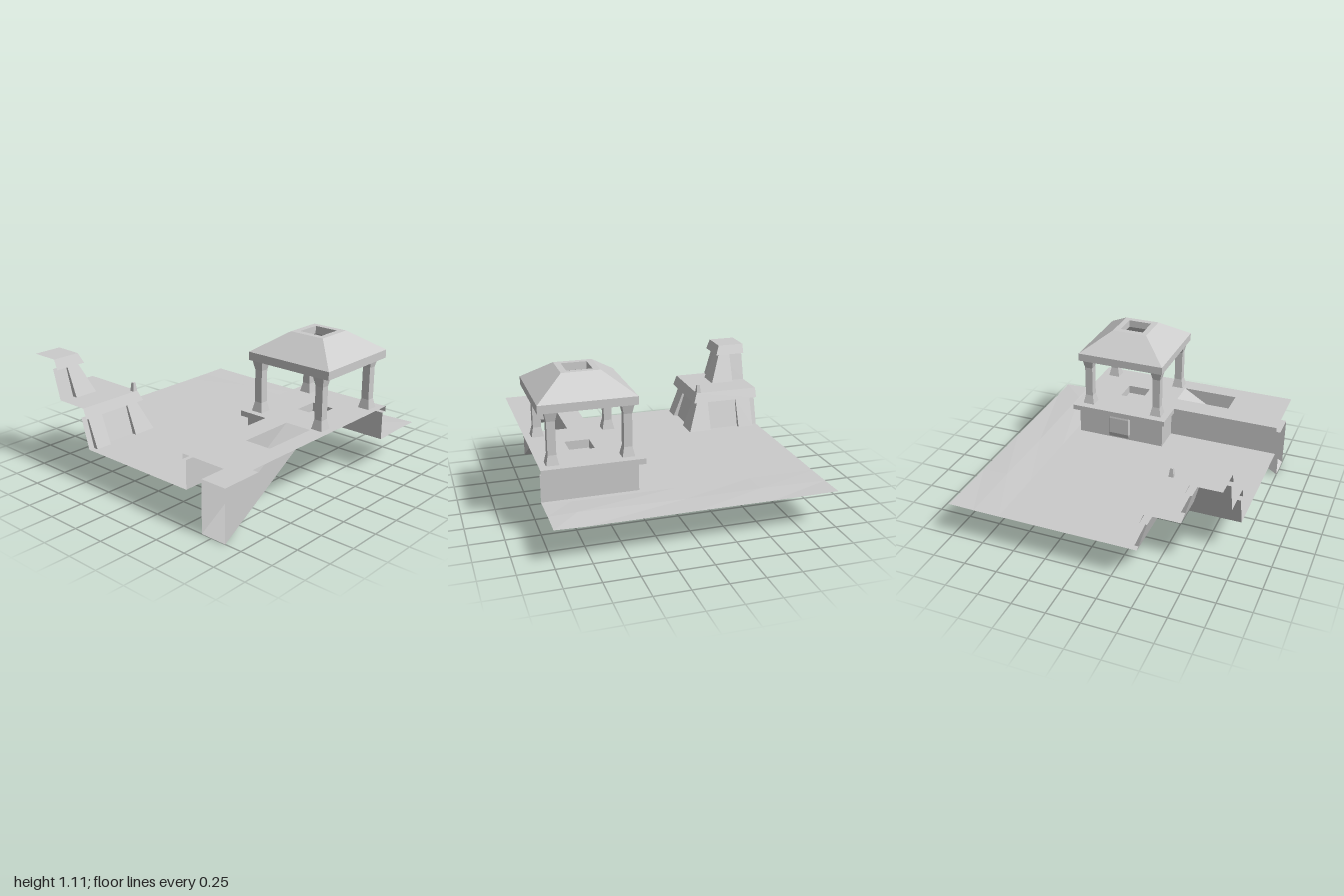
import * as THREE from 'three';

const GROUND = 0.272;
const material = new THREE.MeshStandardMaterial({ color: 0xcccccc, flatShading: true, side: THREE.DoubleSide });

function addMesh(parent, name, geometry) {
  const mesh = new THREE.Mesh(geometry, material);
  mesh.name = name;
  parent.add(mesh);
  return mesh;
}

// Faceted skin over rows of [x, y, z] points
function loft(rows, closed = false) {
  const out = [];
  for (let i = 0; i < rows.length - 1; i++) {
    const a = rows[i], b = rows[i + 1], n = a.length;
    for (let j = 0; j < (closed ? n : n - 1); j++) {
      const k = (j + 1) % n;
      out.push(...a[j], ...a[k], ...b[k], ...a[j], ...b[k], ...b[j]);
    }
  }
  const g = new THREE.BufferGeometry();
  g.setAttribute('position', new THREE.Float32BufferAttribute(out, 3));
  g.computeVertexNormals();
  return g;
}

const at = (plan, y) => plan.map(([x, z]) => [x, y, z]);
const rect = (x0, x1, z0, z1) => [[x0, z0], [x0, z1], [x1, z1], [x1, z0]];
const square = (cx, cz, r) => rect(cx - r, cx + r, cz - r, cz + r);

// Horizontal sheet from an [x, z] outline with optional holes
function sheet(plan, y, holes = []) {
  const toV = (p) => p.map(([x, z]) => new THREE.Vector2(x, -z));
  const shape = new THREE.Shape(toV(plan));
  shape.holes = holes.map((h) => new THREE.Path(toV(h)));
  return new THREE.ShapeGeometry(shape).rotateX(-Math.PI / 2).translate(0, y, 0);
}

// Plans of the buttresses; i = wall line, o = outer face
const cornerPlan = (i, o, end) => [[-end, i], [-end, o], [-o, o], [-o, end], [-i, end]];
const sidePlan = (i, o, a, b) => [[-i, a], [-o, a], [-o, b], [-i, b]];
const mirrored = (plan) => plan.map(([x, z]) => [-z, -x]).reverse();

function buildGround(root) {
  const side = sidePlan(0.44, 0.405, 0.83, 0.955);
  addMesh(root, 'ground', sheet([
    [-1, -0.6], [1, -0.6], [1, -0.56], [0.31, -0.56], [0.31, 0.14], [0.53, 0.14], [0.53, 1],
    [-0.44, 1], ...side.slice().reverse(), ...cornerPlan(0.44, 0.405, 0.585).reverse(),
    ...mirrored(side).reverse(), [-1, 0.44],
  ], GROUND));
  // Gentle swell along the back edge
  const xs = [-1, -0.5, 0.05, 0.8, 1];
  const rise = [[0, 0, 0, 0, 0], [0.001, 0.008, 0.003, 0.014, 0.008], [0.004, 0, 0.002, 0, 0.006]];
  addMesh(root, 'groundSwell', loft(rise.map((row, i) =>
    row.map((h, j) => [xs[j], GROUND + h, -0.6 - 0.2 * i]))));
}

function buildPlatform(root) {
  const platform = new THREE.Group();
  platform.name = 'platform';
  root.add(platform);
  const wall = [[1, -0.56], [0.31, -0.56], [0.31, 0.14], [0.53, 0.14], [0.53, 1]];
  const lip = [[1, -0.6], [0.27, -0.6], [0.27, 0.17], [0.5, 0.17], [0.5, 1]];
  addMesh(platform, 'platformWalls', loft([at(wall, GROUND), at(wall, 0.48), at(lip, 0.48), at(lip, 0.52)]));

  const pit = square(0.65, -0.215, 0.09);
  const stairwell = rect(0.665, 0.868, 0.14, 0.57);
  addMesh(platform, 'platformFloor', sheet([...lip, [1, 1]], 0.52, [pit, stairwell]));
  addMesh(platform, 'pitWalls', loft([at(pit, 0.52), at(pit, 0.455)], true));
  addMesh(platform, 'pitFloor', sheet(pit, 0.455));

  // Small bulge on the outer wall
  const bulge = (x, y) => [[0.31, y, -0.31], [x, y, -0.3], [x, y, -0.14], [0.31, y, -0.13]];
  addMesh(platform, 'wallBulge', loft([bulge(0.31, 0.28), bulge(0.293, 0.32), bulge(0.293, 0.45), bulge(0.3, 0.48)]));

  // Sloping passage: floor, ceiling and two side walls, open at the front
  const ceiling = [[0.57, 0.52], [0.57, 0.455], [0.68, 0.39], [1, 0.39]];
  const floor = [[0.14, 0.52], [1, 0]];
  const across = (profile) => loft([0.665, 0.868].map((x) => profile.map(([z, y]) => [x, y, z])));
  addMesh(platform, 'passageRamp', across(floor));
  addMesh(platform, 'passageCeiling', across(ceiling));
  const sideShape = new THREE.Shape([floor[0], ...ceiling, floor[1]].map(([z, y]) => new THREE.Vector2(-z, y)));
  for (const x of [0.665, 0.868]) {
    addMesh(platform, 'passageWall', new THREE.ShapeGeometry(sideShape).rotateY(Math.PI / 2).translate(x, 0, 0));
  }
}

function buildPavilion(root) {
  const pavilion = new THREE.Group();
  pavilion.name = 'pavilion';
  root.add(pavilion);
  // Square columns flared at both ends
  const column = [[0.045, 0.52], [0.03, 0.59], [0.03, 0.83], [0.045, 0.9]];
  for (const x of [0.375, 0.905]) {
    for (const z of [0.073, -0.493]) {
      addMesh(pavilion, 'column', loft(column.map(([r, y]) => at(square(x, z, r), y)), true));
    }
  }
  // Hollow hipped roof with a square opening
  const roof = [[0.25, 0.9], [0.345, 0.9], [0.345, 0.96], [0.138, 1.105], [0.092, 1.105], [0.09, 1.05], [0.25, 0.94], [0.25, 0.9]];
  addMesh(pavilion, 'roof', loft(roof.map(([r, y]) => at(square(0.653, -0.215, r), y)), true));
}

function buildTower(root) {
  const tower = new THREE.Group();
  tower.name = 'cornerTower';
  root.add(tower);
  // Two battered tiers with overhanging ledges, swept round the corner
  const profile = [[0.44, GROUND], [0.51, 0.5], [0.455, 0.5], [0.485, 0.575], [0.74, 0.575],
    [0.805, 0.8], [0.755, 0.8], [0.785, 0.875], [1, 0.875]];
  addMesh(tower, 'tiers', loft(profile.map(([r, y]) => at([[-1, r], [-r, r], [-r, 1]], y))));

  // Sloping buttresses
  addMesh(tower, 'cornerButtress', loft([at(cornerPlan(0.44, 0.405, 0.585), GROUND), at(cornerPlan(0.51, 0.495, 0.585), 0.5)]));
  addMesh(tower, 'upperButtress', loft([at(cornerPlan(0.74, 0.7, 0.885), 0.575), at(cornerPlan(0.805, 0.79, 0.885), 0.8)]));
  const low = sidePlan(0.44, 0.405, 0.83, 0.955), high = sidePlan(0.51, 0.495, 0.83, 0.955);
  addMesh(tower, 'sideButtress', loft([at(low, GROUND), at(high, 0.5)]));
  addMesh(tower, 'backButtress', loft([at(mirrored(low), GROUND), at(mirrored(high), 0.5)]));

  // Corner finial
  const finial = new THREE.CylinderGeometry(0.015, 0.026, 0.065, 4).rotateY(Math.PI / 4);
  addMesh(tower, 'finial', finial).position.set(-0.503, 0.6075, 0.503);
}

export function createModel() {
  const root = new THREE.Group();
  root.name = 'courtyard';
  buildGround(root);
  buildPlatform(root);
  buildPavilion(root);
  buildTower(root);
  return root;
}
